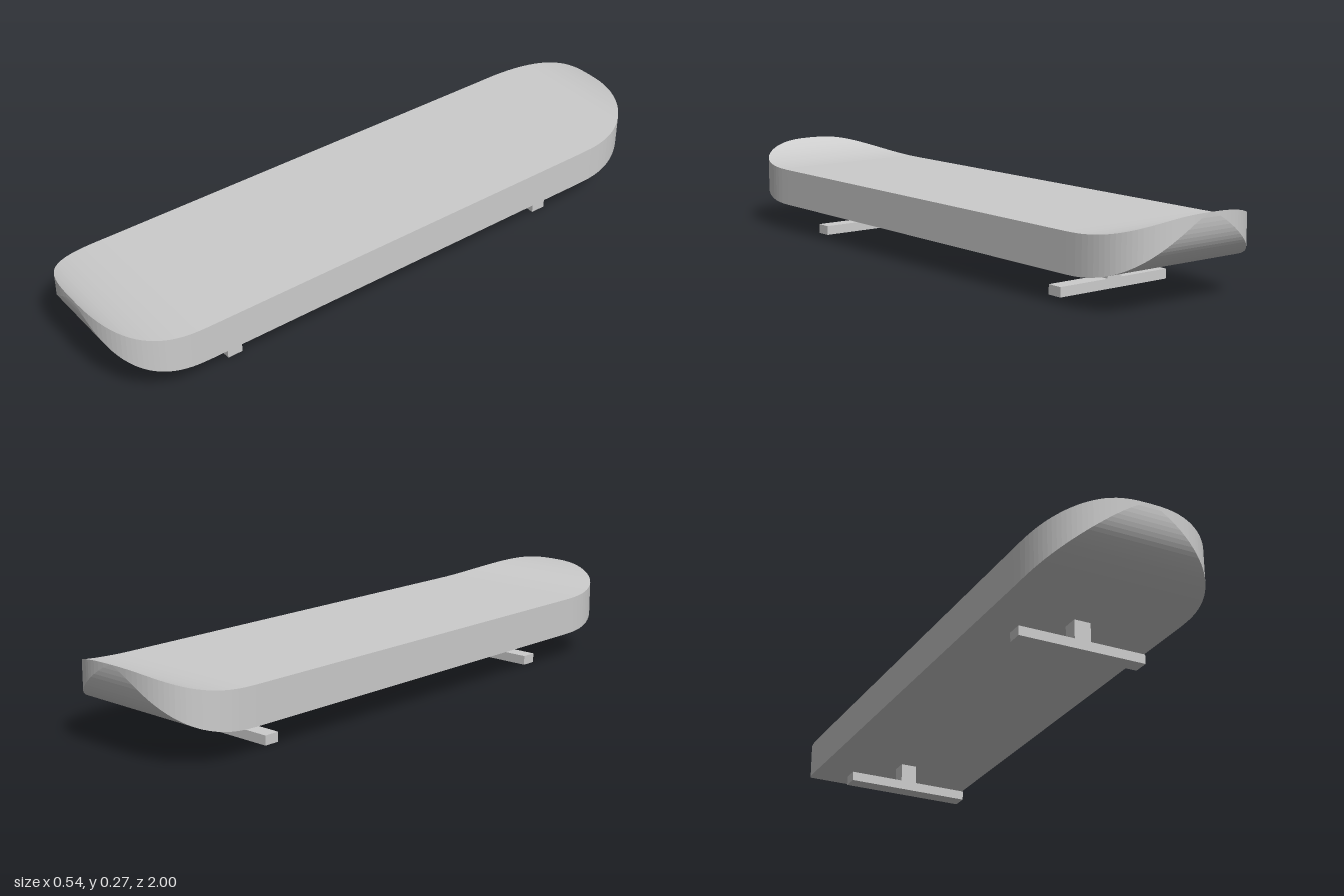
import * as THREE from 'three';

const HALF_WIDTH = 0.268, FLAT_Z = 0.72, CURVE = 0.28;
const material = new THREE.MeshStandardMaterial({ color: 0xcccccc, flatShading: true });

// Heights of the upturned ends, d = distance past the flat middle
function topY(d) {
  const t = (0.4 - Math.sqrt(0.16 - 0.48 * d)) / 0.24;
  return 0.21 + 0.063 * t * t;
}
function bottomY(d) {
  const t = 1 - Math.sqrt(Math.max(0, 1 - d / CURVE));
  return 0.09 + 0.183 * t * t;
}

// Deck: rectangular cross-sections whose width follows a superellipse at each end
function deckGeometry(steps = 24) {
  const half = [];
  for (let i = 0; i <= steps; i++) {
    const a = (i / steps) * Math.PI / 2;
    const w = HALF_WIDTH * Math.pow(Math.max(0, Math.cos(a)), 2 / 2.7);
    const d = CURVE * Math.pow(Math.sin(a), 2 / 2.7);
    half.push({ w, z: FLAT_Z + d, top: topY(d), bottom: bottomY(d) });
  }
  const rings = [...half.map(r => ({ ...r, z: -r.z })).reverse(), ...half];
  const positions = [], index = [];
  rings.forEach(({ w, z, top, bottom }, i) => {
    positions.push(-w, bottom, z, w, bottom, z, w, top, z, -w, top, z);
    if (i === rings.length - 1) return;
    for (let j = 0; j < 4; j++) {
      const a = i * 4 + j, b = i * 4 + (j + 1) % 4;
      index.push(a, b, a + 4, b, b + 4, a + 4);
    }
  });
  const indexed = new THREE.BufferGeometry();
  indexed.setAttribute('position', new THREE.Float32BufferAttribute(positions, 3));
  indexed.setIndex(index);
  const geometry = indexed.toNonIndexed();
  geometry.computeVertexNormals();
  return geometry;
}

function box(name, width, y0, y1, depth) {
  const mesh = new THREE.Mesh(new THREE.BoxGeometry(width, y1 - y0, depth), material);
  mesh.position.y = (y0 + y1) / 2;
  mesh.name = name;
  return mesh;
}

export function createModel() {
  const model = new THREE.Group();
  model.name = 'skateboard';

  const deck = new THREE.Mesh(deckGeometry(), material);
  deck.name = 'deck';
  model.add(deck);

  // Trucks: a short post carrying a wide axle bar
  for (const [name, z] of [['frontTruck', 0.6], ['backTruck', -0.6]]) {
    const truck = new THREE.Group();
    truck.name = name;
    truck.position.z = z;
    truck.add(box('post', 0.053, 0.03, 0.09, 0.05), box('axle', 0.41, 0, 0.03, 0.05));
    model.add(truck);
  }
  return model;
}
